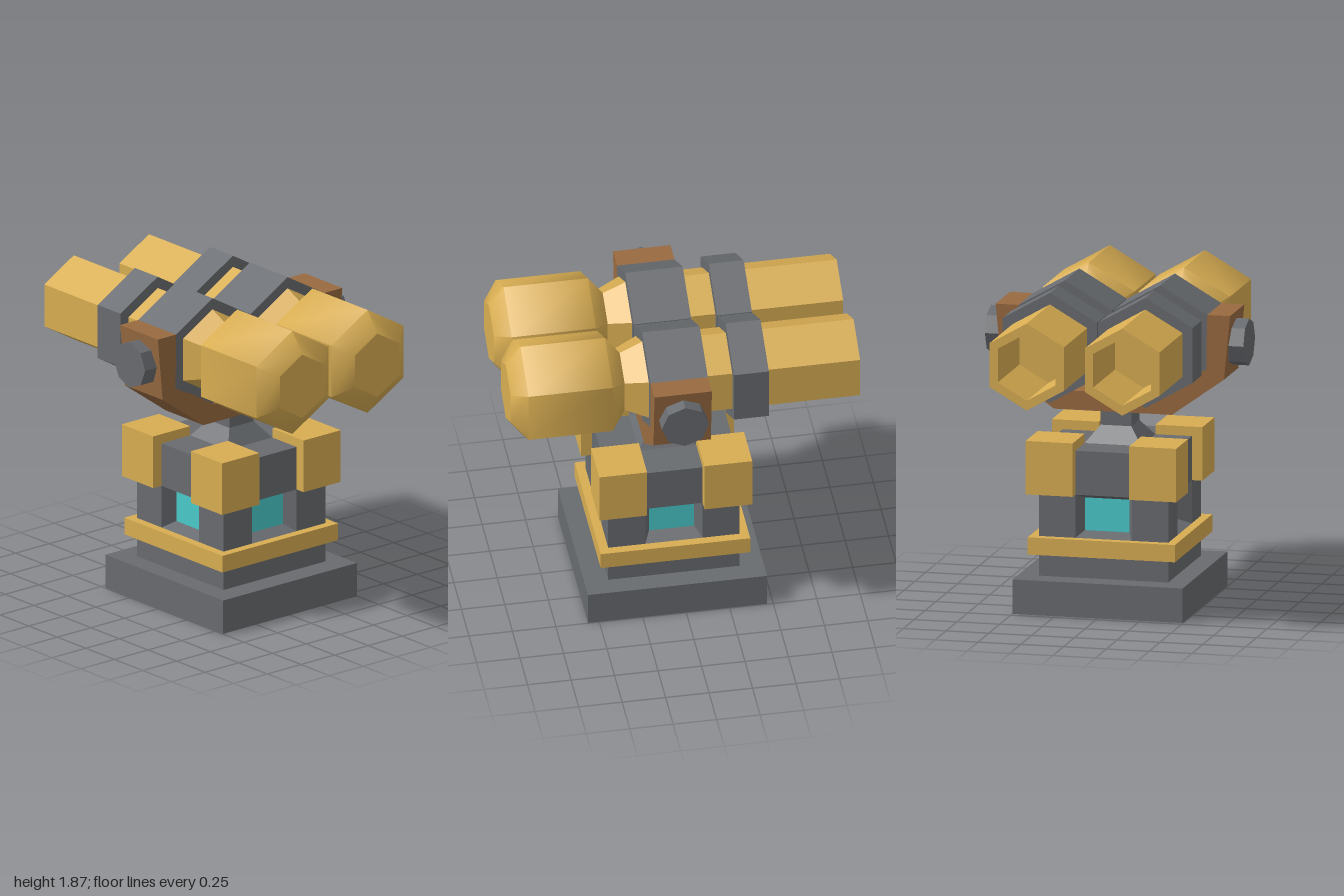
import * as THREE from 'three';
import { toCreasedNormals } from 'three/addons/utils/BufferGeometryUtils.js';

const material = (name, color, side = THREE.FrontSide) => {
  const m = new THREE.MeshStandardMaterial({ color, side });
  m.name = name;
  return m;
};

export function createModel() {
  const gold = material('gold', 0xd8ad52, THREE.DoubleSide);
  const grey = material('grey', 0x686b6f, THREE.DoubleSide);
  const brown = material('brown', 0x986a40);
  const cyan = material('cyan', 0x4acaca, THREE.DoubleSide);

  const model = new THREE.Group();
  model.name = 'twinBarrelTurret';

  const add = (parent, name, geometry, mat, x = 0, y = 0, z = 0) => {
    const mesh = new THREE.Mesh(geometry, mat);
    mesh.name = name;
    mesh.position.set(x, y, z);
    parent.add(mesh);
    return mesh;
  };

  // Turned profile of [radius, height] points with few flat sides
  const turned = (points, sides, start, scale, crease) => toCreasedNormals(
    new THREE.LatheGeometry(
      points.map(([r, h]) => new THREE.Vector2(r * scale, h)), sides, start),
    THREE.MathUtils.degToRad(crease));

  // Square shell: the radius is the half width
  const square = (points) => turned(points, 4, Math.PI / 4, Math.SQRT2, 20);

  // Hexagonal tube along x with a corner on top
  const hex = (points, crease = 20) =>
    turned(points, 6, Math.PI / 2, 1, crease).rotateZ(-Math.PI / 2);

  // Four-cornered faces, corners counter-clockwise
  const quads = (list) => {
    const g = new THREE.BufferGeometry();
    const pos = list.flatMap(([a, b, c, d]) => [a, b, c, a, c, d].flat());
    g.setAttribute('position', new THREE.Float32BufferAttribute(pos, 3));
    g.computeVertexNormals();
    return g;
  };

  // ---- Pedestal, hollow from below ----
  const pedestal = new THREE.Group();
  pedestal.name = 'pedestal';
  pedestal.position.x = 0.05;
  model.add(pedestal);

  const W = 0.378;
  add(pedestal, 'base', square([[0.515, 0], [0.515, 0.2], [W, 0.2]]), grey).scale.z = 0.965;
  add(pedestal, 'lowerBody', square([[W, 0.2], [W, 0.33]]), grey);
  add(pedestal, 'trimBand', square([[W, 0.33], [0.43, 0.33], [0.43, 0.43], [W, 0.43]]), gold);
  add(pedestal, 'upperBodyAndNeck', square([
    [0, 0.679], [W, 0.68], [W, 0.935], [0.165, 0.935], [0.09, 1.03], [0.09, 1.14],
  ]), grey);

  // Middle of the body: corner pillars and a tapered window recess on each side
  const rect = (w, y0, y1, z) => [[-w, y0, z], [w, y0, z], [w, y1, z], [-w, y1, z]];
  const opening = rect(0.165, 0.43, 0.68, W);
  const pane = rect(0.13, 0.46, 0.65, W - 0.08);
  const wall = [0, 1, 2, 3].map((i) => {
    const j = (i + 1) % 4;
    return [opening[i], opening[j], pane[j], pane[i]];
  });
  for (const [x0, x1] of [[-W, -0.165], [0.165, W]]) {
    wall.push([[x0, 0.43, W], [x1, 0.43, W], [x1, 0.68, W], [x0, 0.68, W]]);
  }
  for (let i = 0; i < 4; i++) {
    const side = new THREE.Group();
    side.name = 'windowSide';
    side.rotation.y = i * Math.PI / 2;
    pedestal.add(side);
    add(side, 'pillarsAndRecess', quads(wall), grey);
    add(side, 'windowPane', quads([pane]), cyan);
  }

  // Corner blocks
  for (const sx of [-1, 1]) for (const sz of [-1, 1]) {
    add(pedestal, 'cornerBlock', new THREE.BoxGeometry(0.275, 0.31, 0.275), gold,
      sx * 0.3025, 0.835, sz * 0.3025);
  }

  // ---- Yoke ----
  const half = [[0.345, 1.125], [0.65, 1.345], [0.685, 1.715], [0.55, 1.715], [0.547, 1.4], [0.27, 1.235]];
  const outline = [...half, ...half.map(([z, y]) => [-z, y]).reverse()];
  const yoke = new THREE.ExtrudeGeometry(
    new THREE.Shape(outline.map(([z, y]) => new THREE.Vector2(z, y))),
    { depth: 0.33, bevelEnabled: false });
  add(model, 'yoke', yoke.rotateY(Math.PI / 2), brown, -0.115);

  // ---- Barrels, collars and pivot bolts, mirrored ----
  for (const s of [-1, 1]) {
    const barrel = new THREE.Group();
    barrel.name = 'barrelAssembly';
    barrel.position.set(0, 1.553, s * 0.279);
    model.add(barrel);

    // Open tube with a narrowing neck
    add(barrel, 'barrel', hex([
      [0, -0.5], [0.195, -0.5], [0.195, -1], [0.252, -1], [0.252, 0.215], [0.19, 0.345],
    ]), gold);
    // Swollen end, softened along its length
    add(barrel, 'barrelBulb', hex([
      [0.19, 0.345], [0.309, 0.43], [0.309, 0.915], [0.19, 1],
    ], 55), gold);
    add(barrel, 'bulbCap', hex([[0.19, 1], [0, 1]]), gold);

    for (const [x0, x1] of [[-0.465, -0.265], [-0.115, 0.215]]) {
      add(barrel, 'collar', hex([[0.2, x0], [0.319, x0], [0.319, x1], [0.2, x1]]), grey);
    }

    const bolt = new THREE.CylinderGeometry(0.136, 0.136, 0.135, 8).toNonIndexed();
    bolt.computeVertexNormals();
    add(model, 'pivotBolt', bolt.rotateX(Math.PI / 2), grey, 0.05, 1.535, s * 0.6875);
  }

  return model;
}
